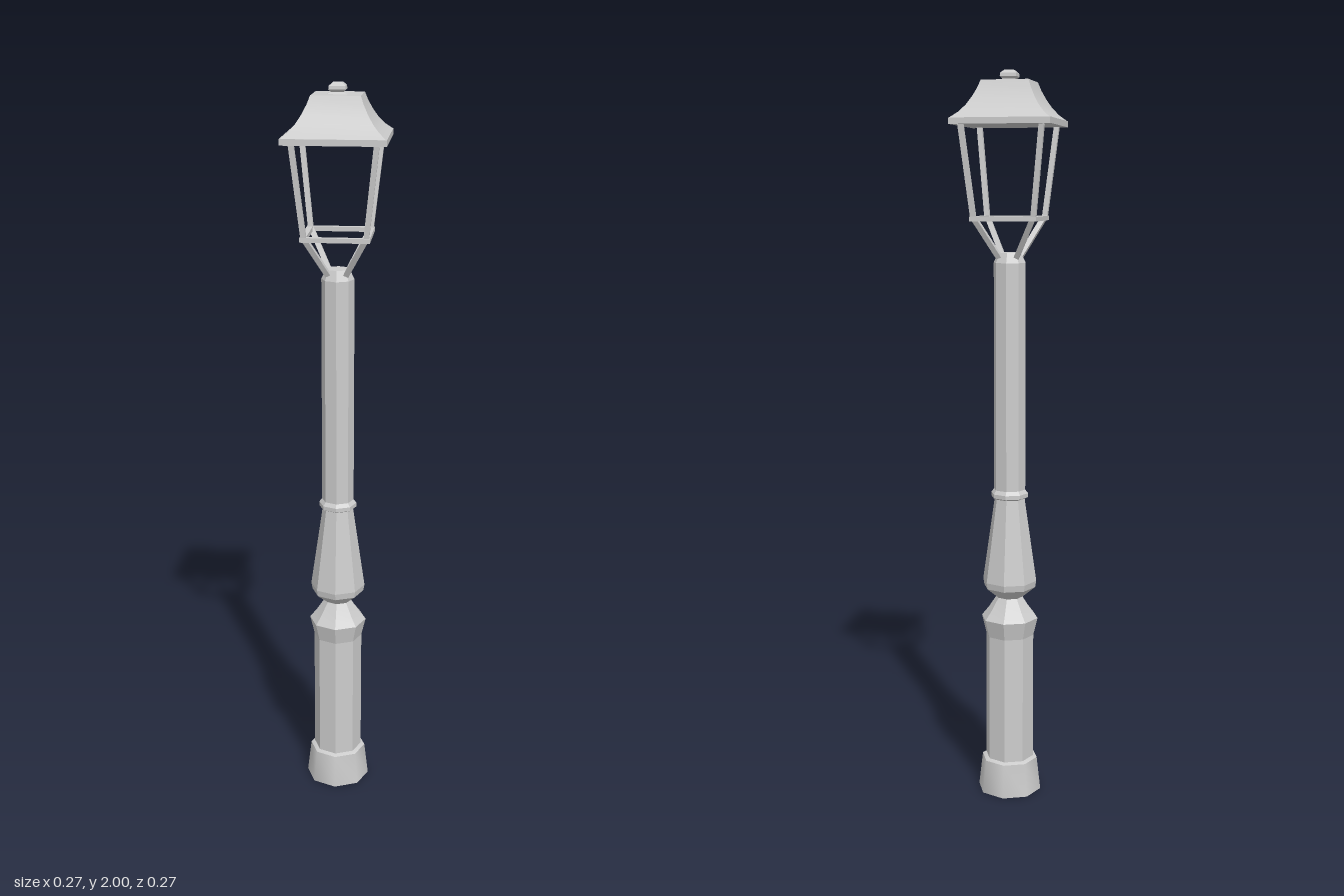
import * as THREE from 'three';
import { toCreasedNormals } from 'three/addons/utils/BufferGeometryUtils.js';

export function createModel() {
  const group = new THREE.Group();
  const metal = new THREE.MeshStandardMaterial({ color: 0xcccccc });
  metal.name = 'light grey metal';

  const add = (name, geometry) => {
    const mesh = new THREE.Mesh(geometry, metal);
    mesh.name = name;
    group.add(mesh);
    return mesh;
  };

  // Faceted turning from [radius, y] points; edges over the crease angle stay sharp
  const turned = (name, profile, sides, crease) => {
    const points = profile.map(([r, y]) => new THREE.Vector2(r, y));
    return add(name, toCreasedNormals(new THREE.LatheGeometry(points, sides), crease));
  };

  // Square-plan part from [half width, y] points
  const square = (name, profile, crease) => {
    const mesh = turned(name, profile.map(([h, y]) => [h * Math.SQRT2, y]), 4, crease);
    mesh.geometry.rotateY(Math.PI / 4);
    return mesh;
  };

  // Thin square rod between two points
  const rod = (name, from, to, width) => {
    const a = new THREE.Vector3(...from), b = new THREE.Vector3(...to);
    const mesh = add(name, new THREE.BoxGeometry(width, a.distanceTo(b), width));
    mesh.position.copy(a).add(b).multiplyScalar(0.5);
    mesh.quaternion.setFromUnitVectors(new THREE.Vector3(0, 1, 0), b.sub(a).normalize());
    return mesh;
  };

  // Foot and octagonal post
  turned('foot', [[0, 0], [0.09, 0], [0.079, 0.094], [0.066, 0.1], [0, 0.1]], 8, 0.9);
  turned('lowerPost', [[0.068, 0.09], [0.068, 0.46], [0.08, 0.51], [0.06, 0.535], [0.037, 0.57]], 8, 0.2);
  turned('bulb', [[0.037, 0.57], [0.073, 0.6], [0.076, 0.618], [0.042, 0.855]], 8, 0.2);
  turned('collar', [[0.042, 0.852], [0.052, 0.857], [0.052, 0.868], [0.044, 0.878]], 8, 0.2);
  turned('upperPost', [[0.044, 0.87], [0.044, 1.5], [0.031, 1.527], [0, 1.527]], 8, 0.2);

  // Lantern cage: brackets and uprights on the four corners
  for (const sx of [-1, 1]) {
    for (const sz of [-1, 1]) {
      rod('bracket', [sx * 0.024, 1.515, sz * 0.024], [sx * 0.078, 1.617, sz * 0.078], 0.014);
      rod('upright', [sx * 0.08, 1.617, sz * 0.08], [sx * 0.107, 1.862, sz * 0.107], 0.014);
    }
  }

  // Square frame at the bottom of the cage
  for (const s of [-1, 1]) {
    const sideX = add('cageFrame', new THREE.BoxGeometry(0.18, 0.012, 0.016));
    sideX.position.set(0, 1.617, s * 0.082);
    const sideZ = add('cageFrame', new THREE.BoxGeometry(0.016, 0.012, 0.148));
    sideZ.position.set(s * 0.082, 1.617, 0);
  }

  // Swept roof with its eave
  square('eave', [[0, 1.858], [0.133, 1.858], [0.133, 1.874], [0, 1.874]], 0.3);
  square('roof', [[0.131, 1.874], [0.112, 1.889], [0.096, 1.907], [0.082, 1.929], [0.071, 1.951],
    [0.063, 1.972], [0, 1.972]], 0.6);

  // Finial
  square('finial', [[0.028, 1.971], [0.016, 1.977], [0.022, 1.983], [0.021, 1.992], [0.012, 2], [0, 2]], 0.3);

  return group;
}
